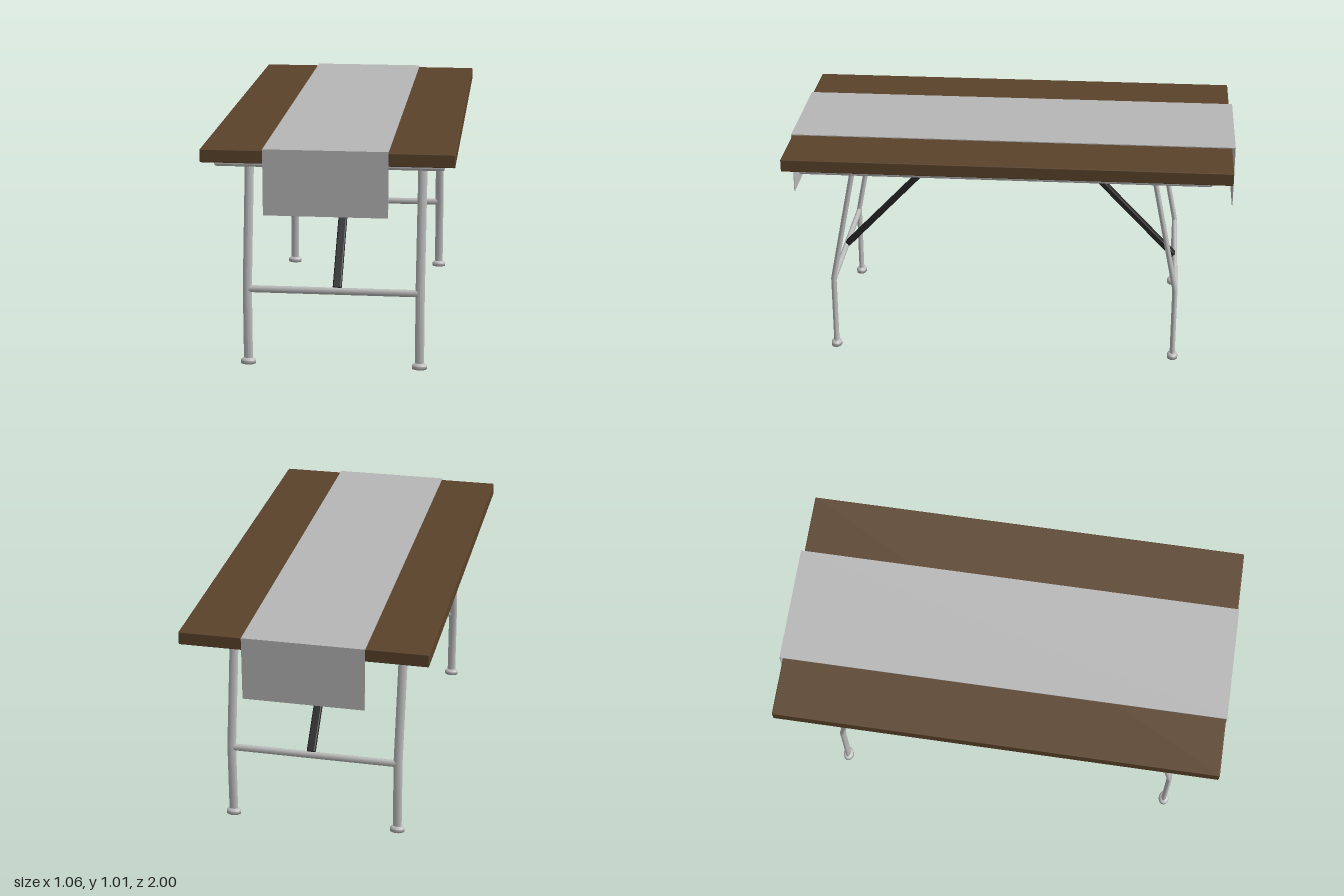
import * as THREE from 'three';
import { RoundedBoxGeometry } from 'three/addons/geometries/RoundedBoxGeometry.js';

const mat = (name, color, side = THREE.FrontSide) =>
  Object.assign(new THREE.MeshStandardMaterial({ color, side }), { name });

export function createModel() {
  const wood = mat('brownWood', 0x5a422a);
  const cloth = mat('greyCloth', 0xb6b6b6, THREE.DoubleSide);
  const metal = mat('paleMetal', 0xbcbcbc);
  const black = mat('blackSteel', 0x242424);

  const table = new THREE.Group();
  table.name = 'foldingTable';
  const add = (parent, name, geometry, material, x = 0, y = 0, z = 0) => {
    const mesh = new THREE.Mesh(geometry, material);
    mesh.name = name;
    mesh.position.set(x, y, z);
    parent.add(mesh);
    return mesh;
  };

  // Table top
  add(table, 'tableTop', new RoundedBoxGeometry(1.064, 0.057, 1.982, 2, 0.004), wood, -0.002, 0.9715, 0.006);

  // Runner: thin strip folded down over both ends
  const fold = new THREE.Shape([
    [-1, 0.723], [-0.997, 0.723], [-0.997, 1.002], [0.998, 1.002],
    [0.998, 0.723], [1.001, 0.723], [1.001, 1.006], [-1, 1.006],
  ].map(([z, y]) => new THREE.Vector2(z, y)));
  const runner = new THREE.ExtrudeGeometry(fold, { depth: 0.525, bevelEnabled: false });
  runner.rotateY(-Math.PI / 2);
  add(table, 'runner', runner, cloth, 0.255);

  // Rectangular rail with bevelled section under the top
  const rectangle = (Type, w, h) => new Type([
    new THREE.Vector2(-w, -h), new THREE.Vector2(w, -h),
    new THREE.Vector2(w, h), new THREE.Vector2(-w, h),
  ]);
  const bevel = 0.011;
  const ring = rectangle(THREE.Shape, 0.485 - bevel, 0.91 - bevel);
  ring.holes.push(rectangle(THREE.Path, 0.447 + bevel, 0.872 + bevel));
  const rail = new THREE.ExtrudeGeometry(ring, {
    depth: 0.011, bevelThickness: bevel, bevelSize: bevel, bevelSegments: 2,
  });
  rail.rotateX(-Math.PI / 2);
  add(table, 'underRail', rail, metal, -0.001, 0.921, 0.015);

  // Oval leg tube, vertical to the knee and then leaning inwards
  const legGeometry = (lean) => {
    const g = new THREE.CylinderGeometry(0.02, 0.02, 2, 20, 2);
    const p = g.attributes.position;
    for (let i = 0; i < p.count; i++) {
      const ringIndex = Math.round(p.getY(i) + 1);
      p.setY(i, [0.01, 0.35, 0.925][ringIndex]);
      p.setZ(i, p.getZ(i) * 0.6 + (ringIndex === 2 ? lean : 0));
    }
    g.computeVertexNormals();
    return g;
  };
  const footProfile = [[0, 0], [0.033, 0], [0.033, 0.014], [0.031, 0.017], [0.021, 0.026], [0, 0.026]]
    .map(([x, y]) => new THREE.Vector2(x, y));
  const foot = new THREE.LatheGeometry(footProfile, 20);
  foot.scale(1, 1, 0.73);

  // Leg frames at both ends
  for (const s of [1, -1]) {
    const frame = new THREE.Group();
    frame.name = s > 0 ? 'frontLegFrame' : 'backLegFrame';
    frame.position.z = 0.029 + s * 0.784;
    table.add(frame);
    for (const [side, x] of [['right', -0.371], ['left', 0.38]]) {
      add(frame, side + 'Leg', legGeometry(-s * 0.114), metal, x);
      add(frame, side + 'Foot', foot, metal, x);
    }
    // Cross bar between the knees
    const bar = new THREE.CylinderGeometry(0.016, 0.016, 0.737, 16);
    bar.rotateZ(Math.PI / 2);
    bar.scale(1, 1, 0.75);
    add(frame, 'crossBar', bar, metal, 0.002, 0.341, 0);

    // Diagonal brace from the cross bar up to the top
    const rise = 0.585, run = 0.555;
    const brace = add(frame, 'brace', new RoundedBoxGeometry(0.038, Math.hypot(rise, run), 0.026, 2, 0.006),
      black, 0.02, 0.35 + rise / 2, -s * (0.006 + run / 2));
    brace.rotation.x = -s * Math.atan2(run, rise);
  }
  return table;
}
